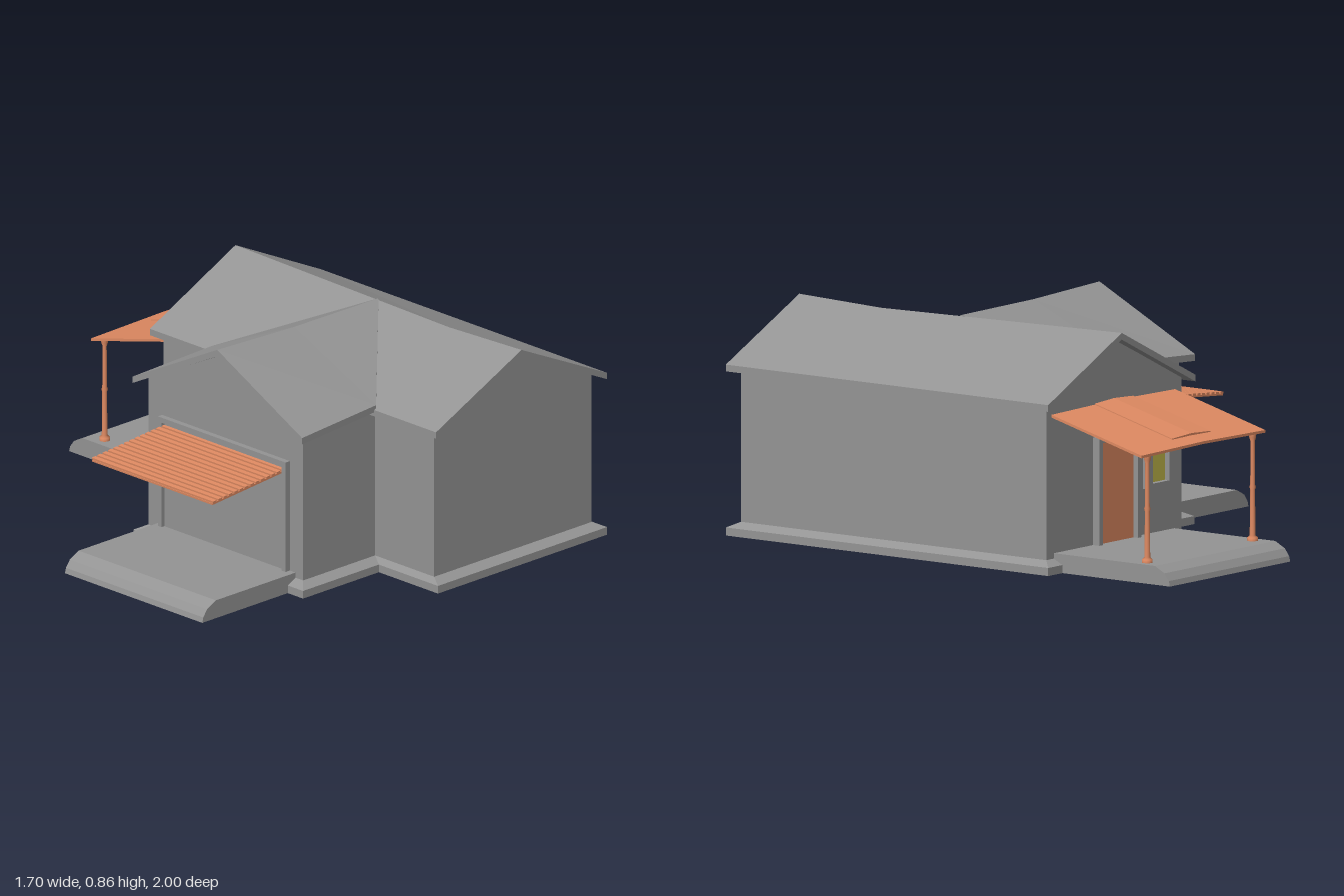
import * as THREE from 'three';

const mat = (name, color) => {
  const m = new THREE.MeshStandardMaterial({ color, side: THREE.DoubleSide });
  m.name = name;
  return m;
};

export function createModel() {
  const grey = mat('grey plaster', 0x949494);
  const orange = mat('terracotta orange', 0xdf8a62);
  const glass = mat('yellow glass', 0xc4bb4c);
  const root = new THREE.Group();
  root.name = 'house';

  const add = (name, geo, material, x = 0, y = 0, z = 0, parent = root) => {
    const m = new THREE.Mesh(geo, material);
    m.name = name;
    m.position.set(x, y, z);
    parent.add(m);
    return m;
  };
  // box given by its minimum and maximum corners
  const box = (name, material, a, b, parent = root) =>
    add(name, new THREE.BoxGeometry(b[0] - a[0], b[1] - a[1], b[2] - a[2]), material,
      (a[0] + b[0]) / 2, (a[1] + b[1]) / 2, (a[2] + b[2]) / 2, parent);
  // flat convex polygons, each split into a fan
  const polys = (name, material, faces) => {
    const pos = [];
    for (const f of faces)
      for (let i = 1; i < f.length - 1; i++) pos.push(...f[0], ...f[i], ...f[i + 1]);
    const g = new THREE.BufferGeometry();
    g.setAttribute('position', new THREE.Float32BufferAttribute(pos, 3));
    g.computeVertexNormals();
    return add(name, g, material);
  };
  // skin between successive closed cross-sections
  const skin = (sections) => {
    const faces = [];
    for (let s = 0; s < sections.length - 1; s++) {
      const a = sections[s], b = sections[s + 1], n = a.length;
      for (let i = 0; i < n; i++) {
        const j = (i + 1) % n;
        faces.push([a[i], a[j], b[j], b[i]]);
      }
    }
    return faces;
  };

  // L-shaped plan, anticlockwise seen from above
  const wallPlan = [[0, 0.96], [0.81, 0.96], [0.81, -0.46], [0, -0.46],
    [0, -0.16], [-0.37, -0.16], [-0.37, 0.65], [0, 0.65]];
  const basePlan = [[-0.02, 1], [0.85, 1], [0.85, -0.5], [-0.02, -0.5],
    [-0.02, -0.2], [-0.41, -0.2], [-0.41, 0.69], [-0.02, 0.69]];
  const ring = (plan, y) => plan.map(([x, z]) => [x, y, z]);

  // plinth with a sloped top edge, open underneath
  polys('plinth', grey, skin([ring(basePlan, 0), ring(basePlan, 0.03), ring(wallPlan, 0.05)]));

  // walls, with gable peaks on three of the edges
  const eave = 0.628, peaks = { 0: 0.818, 2: 0.818, 5: 0.83 };
  polys('walls', grey, wallPlan.map((p, i) => {
    const q = wallPlan[(i + 1) % wallPlan.length];
    const f = [[p[0], 0.04, p[1]], [q[0], 0.04, q[1]], [q[0], eave, q[1]]];
    if (peaks[i]) f.push([(p[0] + q[0]) / 2, peaks[i], (p[1] + q[1]) / 2]);
    f.push([p[0], eave, p[1]]);
    return f;
  }));

  // gable roofs: stations are [position, half width, eave height, ridge height]
  const roof = (name, place, stations) => {
    const t = 0.025;
    const secs = stations.map(([d, w, e, r]) => [
      place(d, -w, e), place(d, 0, r), place(d, w, e),
      place(d, w, e - t), place(d, 0, r - t), place(d, -w, e - t)]);
    const faces = skin(secs);
    for (const s of [secs[0], secs[secs.length - 1]])
      faces.push([s[0], s[1], s[4], s[5]], [s[1], s[2], s[3], s[4]]);
    polys(name, grey, faces);
  };
  roof('mainRoof', (d, w, y) => [0.41 + w, y, d],
    [[1, 0.44, 0.636, 0.843], [0.62, 0.44, 0.636, 0.829], [-0.5, 0.44, 0.636, 0.848]]);
  roof('wingRoof', (d, w, y) => [d, y, 0.245 + w],
    [[-0.415, 0.445, 0.632, 0.858], [-0.02, 0.43, 0.652, 0.843], [0.41, 0.005, 0.838, 0.84]]);

  // porch and driveway slabs: rounded outer edge, extruded across their width
  const slab = (name, width, length) => {
    const s = new THREE.Shape([[0, 0], [length, 0], [length - 0.005, 0.02], [length - 0.025, 0.047],
      [length - 0.07, 0.07], [0, 0.07]].map(p => new THREE.Vector2(...p)));
    const g = new THREE.ExtrudeGeometry(s, { depth: width, bevelEnabled: false });
    g.translate(0, 0, -width / 2);
    return add(name, g, grey);
  };
  const porch = slab('porchSlab', 0.72, 0.54);
  porch.rotation.y = Math.PI / 2;
  porch.position.set(0.405, 0, -0.46);
  const drive = slab('drivewaySlab', 0.72, 0.48);
  drive.rotation.y = Math.PI;
  drive.position.set(-0.37, 0, 0.25);

  // back wall openings: four frame bars round a thin panel
  const opening = (name, panel, x0, x1, y0, y1, z, sill) => {
    const g = new THREE.Group();
    g.name = name;
    root.add(g);
    const b = 0.02, f = z - 0.03;
    box('frameSide', grey, [x0, y0, f], [x0 + b, y1, z], g);
    box('frameSide', grey, [x1 - b, y0, f], [x1, y1, z], g);
    box('frameTop', grey, [x0, y1 - b, f], [x1, y1, z], g);
    if (sill) box('frameSill', grey, [x0, y0, f], [x1, y0 + b, z], g);
    box('panel', panel, [x0 + b, y0, z - 0.009], [x1 - b, y1 - b, z - 0.001], g);
  };
  opening('frontDoor', orange, 0.28, 0.53, 0.07, 0.47, -0.46, false);
  opening('porchWindow', glass, 0.09, 0.23, 0.24, 0.47, -0.46, true);
  opening('wingWindow', glass, -0.25, -0.11, 0.25, 0.49, -0.16, true);

  // garage door and its frame
  box('garageDoor', grey, [-0.378, 0.07, -0.07], [-0.371, 0.48, 0.56]);
  for (const z of [-0.09, 0.56]) box('garageFrameSide', grey, [-0.392, 0.07, z], [-0.37, 0.5, z + 0.02]);
  box('garageFrameTop', grey, [-0.392, 0.48, -0.09], [-0.37, 0.5, 0.58]);

  // porch awning: tilted sheet folded gently along the middle, with a raised panel
  const awningY = (z) => 0.587 - (-0.46 - z) * 0.262;
  const sheet = (name, x0, x1, z0, z1, lift, t) => {
    const sec = (z) => {
      const y = awningY(z) + lift, m = (x0 + x1) / 2;
      return [[x0, y, z], [m, y + 0.006, z], [x1, y, z], [x1, y - t, z], [m, y + 0.006 - t, z], [x0, y - t, z]];
    };
    const a = sec(z0), b = sec(z1);
    polys(name, orange, [...skin([a, b]), ...[a, b].flatMap(s => [[s[0], s[1], s[4], s[5]], [s[1], s[2], s[3], s[4]]])]);
  };
  sheet('awning', 0.04, 0.78, -0.46, -0.88, 0, 0.01);
  sheet('awningPanel', 0.29, 0.52, -0.46, -0.82, 0.008, 0.008);

  // turned porch posts
  const postProfile = [[0.02, 0], [0.02, 0.012], [0.011, 0.02], [0.009, 0.19], [0.012, 0.2],
    [0.009, 0.21], [0.008, 0.37], [0.013, 0.385], [0.013, 0.4]].map(p => new THREE.Vector2(...p));
  for (const x of [0.09, 0.72])
    add('porchPost', new THREE.LatheGeometry(postProfile, 12), orange, x, 0.07, -0.86);

  // slatted canopy over the garage
  const canopy = new THREE.Group();
  canopy.name = 'garageCanopy';
  canopy.position.set(-0.56, 0.443, 0.245);
  canopy.rotation.z = 0.085;
  root.add(canopy);
  add('canopyBoard', new THREE.BoxGeometry(0.38, 0.007, 0.63), orange, 0, -0.001, 0, canopy);
  for (let i = 0; i < 14; i++)
    add('canopySlat', new THREE.BoxGeometry(0.018, 0.008, 0.636), orange, -0.179 + i * 0.0275, 0.006, 0, canopy);

  return root;
}
